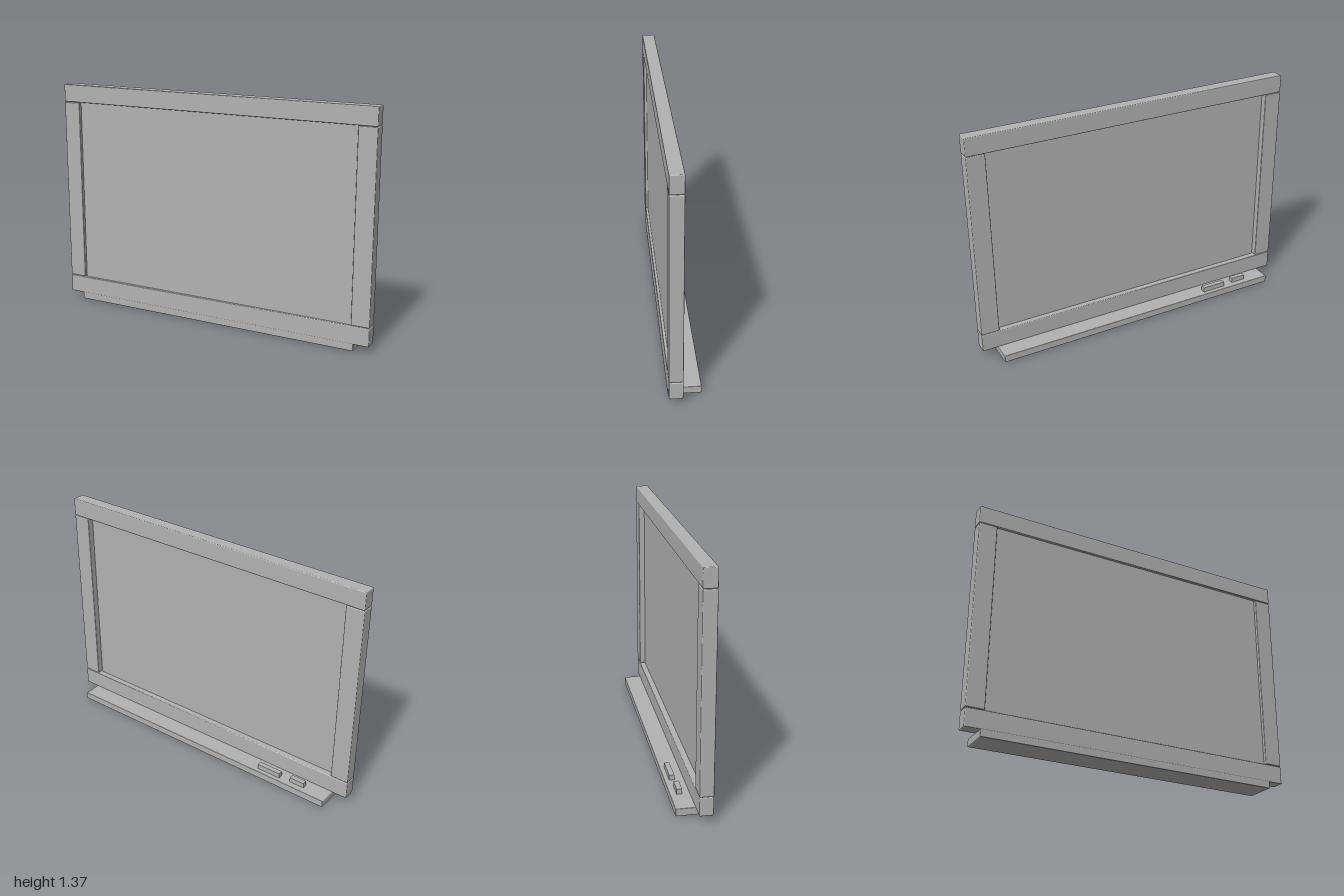
import * as THREE from 'three';
import { RoundedBoxGeometry } from 'three/addons/geometries/RoundedBoxGeometry.js';

export function createModel() {
  const group = new THREE.Group();
  group.name = 'whiteboard';
  const grey = new THREE.MeshStandardMaterial({ color: 0xb2b2b2 });
  grey.name = 'plain grey';

  // Box given by its limits on each axis, with optional softened edges
  function block(name, [x0, x1], [y0, y1], [z0, z1], bevel = 0) {
    const size = [x1 - x0, y1 - y0, z1 - z0];
    const geometry = bevel
      ? new RoundedBoxGeometry(...size, 2, bevel)
      : new THREE.BoxGeometry(...size);
    const mesh = new THREE.Mesh(geometry, grey);
    mesh.name = name;
    mesh.position.set((x0 + x1) / 2, (y0 + y1) / 2, (z0 + z1) / 2);
    group.add(mesh);
  }

  // Frame: two full-width rails and two stiles between them
  const frameZ = [0.015, 0.092];
  block('topRail', [-1, 1], [1.26, 1.366], frameZ, 0.005);
  block('bottomRail', [-1, 1], [0.04, 0.147], frameZ, 0.005);
  block('leftStile', [0.892, 1], [0.15, 1.257], frameZ, 0.005);
  block('rightStile', [-1, -0.892], [0.15, 1.257], frameZ, 0.005);

  // Writing panel, recessed on both sides
  block('panel', [-0.89, 0.89], [0.146, 1.261], [0.05, 0.075]);

  // Tray below the frame, reaching out behind it
  block('tray', [-0.91, 0.91], [0, 0.044], [-0.092, 0.092], 0.004);

  // Small items lying on the tray
  block('longTrayItem', [-0.6, -0.45], [0.042, 0.074], [-0.066, -0.037]);
  block('shortTrayItem', [-0.76, -0.667], [0.042, 0.074], [-0.056, -0.027]);

  return group;
}
